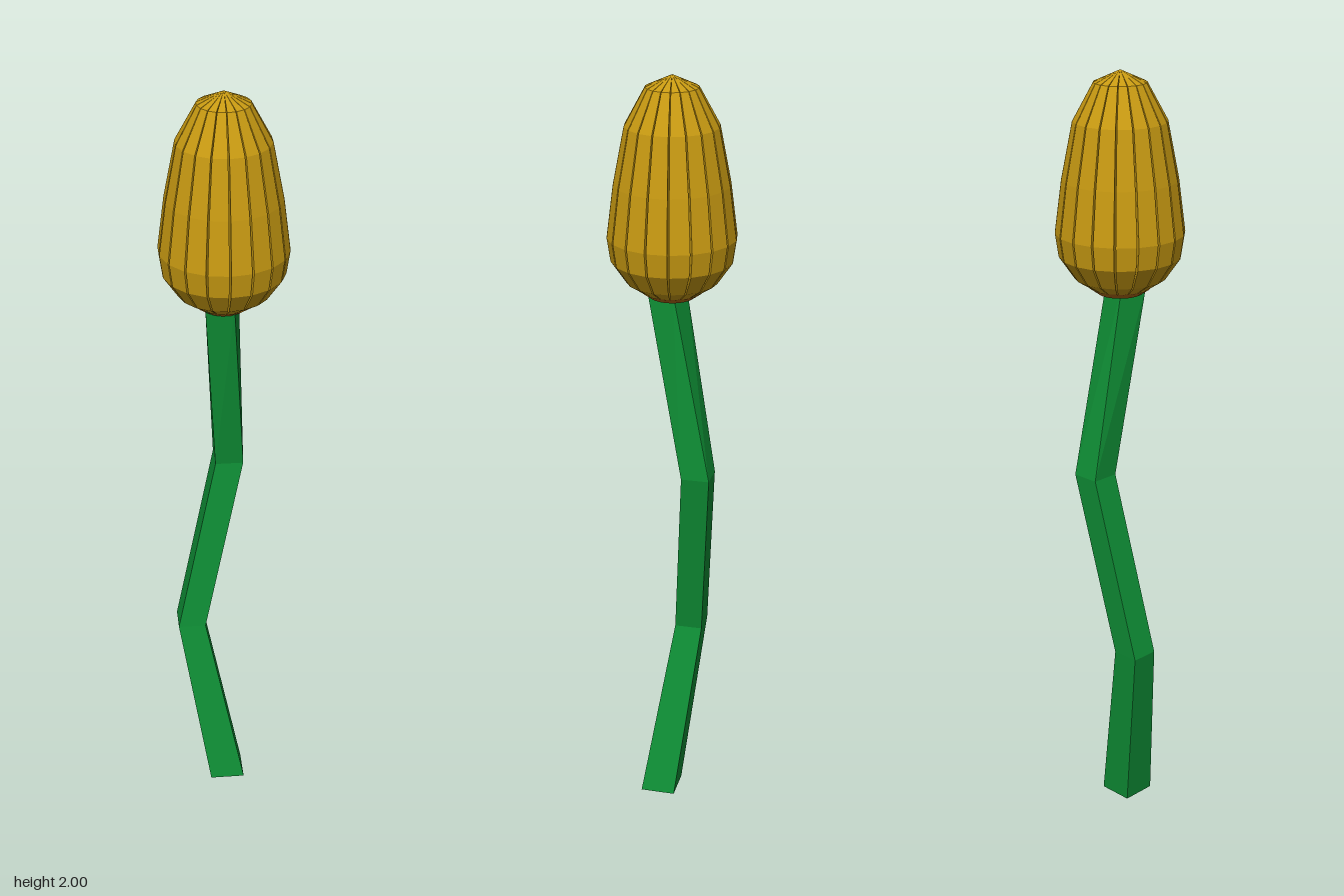
import * as THREE from 'three';

const material = (color) => new THREE.MeshStandardMaterial({ color, flatShading: true });

// Joins closed loops of points, listed bottom to top, counter-clockwise seen from above
function loft(loops) {
  const n = loops[0].length;
  const points = loops.flat();
  const index = [];
  for (let i = 0; i < loops.length - 1; i++) {
    for (let j = 0; j < n; j++) {
      const a = i * n + j, b = i * n + (j + 1) % n;
      index.push(a, b, b + n, a, b + n, a + n);
    }
  }
  const top = (loops.length - 1) * n;
  for (let j = 1; j < n - 1; j++) {
    index.push(0, j + 1, j, top, top + j, top + j + 1);
  }
  const geometry = new THREE.BufferGeometry().setFromPoints(points);
  geometry.setIndex(index);
  const flat = geometry.toNonIndexed();
  flat.computeVertexNormals();
  return flat;
}

// Square stem that bends, tapers and twists slightly near the bud
function createStem() {
  // x, y, z, side length, twist in degrees
  const sections = [
    [0.003, 0, 0.03, 0.092, 0],
    [-0.087, 0.48, -0.033, 0.073, 0],
    [0.018, 0.97, -0.073, 0.073, 0],
    [-0.006, 1.47, 0.016, 0.073, -14],
  ];
  const loops = sections.map(([x, y, z, side, twist]) =>
    [45, -45, -135, 135].map((corner) => {
      // angle measured from +z towards +x
      const a = THREE.MathUtils.degToRad(corner + 180 + twist);
      const r = side / Math.SQRT2;
      return new THREE.Vector3(x + r * Math.sin(a), y, z + r * Math.cos(a));
    }).reverse());
  const mesh = new THREE.Mesh(loft(loops), material(0x0f9036));
  mesh.name = 'stem';
  return mesh;
}

// Closed bud made of narrow wedge petals with fine gaps between them
function createBud() {
  const bud = new THREE.Group();
  bud.name = 'bud';
  const count = 18;
  const profile = [
    [0.004, 1.444], [0.055, 1.449], [0.115, 1.487], [0.153, 1.542], [0.162, 1.602],
    [0.145, 1.735], [0.117, 1.878], [0.066, 1.971], [0.002, 2],
  ];
  const half = Math.PI / count - 0.015;
  const loops = profile.map(([r, y]) => [
    new THREE.Vector3(0, y, 0),
    new THREE.Vector3(r * Math.cos(half), y, r * Math.sin(half)),
    new THREE.Vector3(r * Math.cos(half), y, -r * Math.sin(half)),
  ]);
  const geometry = loft(loops);
  const gold = material(0xc89a12);
  for (let i = 0; i < count; i++) {
    const petal = new THREE.Mesh(geometry, gold);
    petal.name = 'petal';
    petal.rotation.y = (i * 2 * Math.PI) / count;
    bud.add(petal);
  }

  // Small darker cup where the bud meets the stem
  const cup = new THREE.Mesh(
    new THREE.LatheGeometry([
      new THREE.Vector2(0, 1.441), new THREE.Vector2(0.056, 1.446), new THREE.Vector2(0.08, 1.463),
    ], count, Math.PI / count),
    material(0xb06a14));
  cup.material.side = THREE.DoubleSide;
  cup.name = 'cup';
  bud.add(cup);
  return bud;
}

export function createModel() {
  const model = new THREE.Group();
  model.name = 'flowerBud';
  model.add(createStem(), createBud());
  return model;
}
